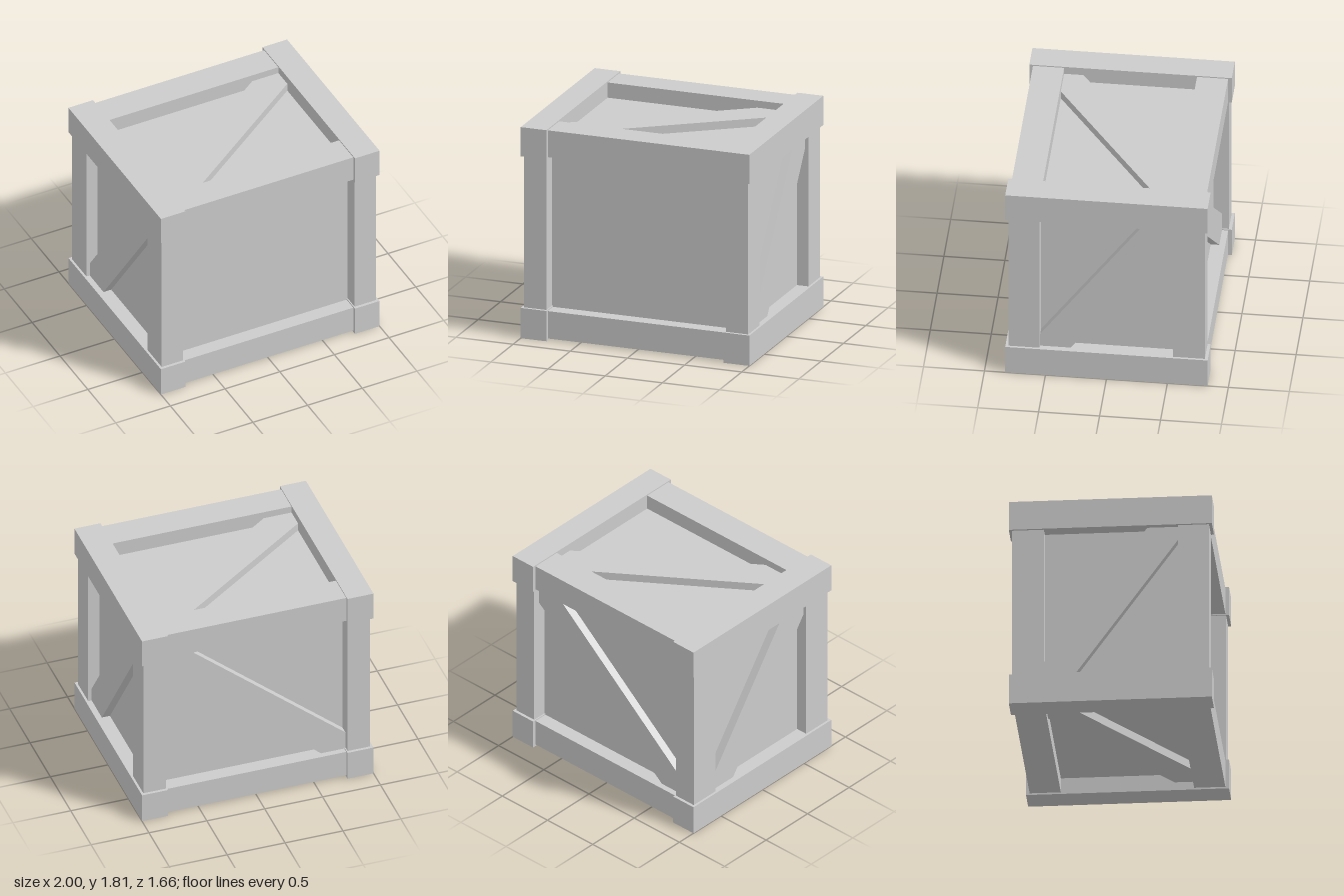
import * as THREE from 'three';

const material = new THREE.MeshStandardMaterial({ color: 0xcccccc, flatShading: true });

// Box given by its minimum and maximum corners
function beam(name, [x0, y0, z0], [x1, y1, z1]) {
  const mesh = new THREE.Mesh(new THREE.BoxGeometry(x1 - x0, y1 - y0, z1 - z0), material);
  mesh.name = name;
  mesh.position.set((x0 + x1) / 2, (y0 + y1) / 2, (z0 + z1) / 2);
  return mesh;
}

// Diagonal plank clipped to an opening of half size a by b; cu and cv are its cut lengths in the corners
function brace(name, { a, b, cu, cv, flip = 1, position, rotation }) {
  const corners = [[-a, -b], [-a + cu, -b], [a, b - cv], [a, b], [a - cu, b], [-a, -b + cv]];
  const shape = new THREE.Shape(corners.map(([u, v]) => new THREE.Vector2(u * flip, v)));
  const geometry = new THREE.ExtrudeGeometry(shape, { depth: 0.07, bevelEnabled: false });
  const mesh = new THREE.Mesh(geometry, material);
  mesh.name = name;
  mesh.position.set(...position);
  mesh.rotation.set(...rotation);
  return mesh;
}

export function createModel() {
  const crate = new THREE.Group();
  crate.name = 'crate';

  // Recessed panels on all six sides
  crate.add(beam('panelBox', [-0.88, 0.14, -0.68], [0.88, 1.67, 0.68]));

  // Rails running front to back, slightly proud of the rest of the frame
  for (const [level, y0, y1] of [['bottom', 0, 0.26], ['top', 1.56, 1.81]]) {
    crate.add(beam(level + 'LeftRail', [0.775, y0, -0.83], [1, y1, 0.83]));
    crate.add(beam(level + 'RightRail', [-1, y0, -0.83], [-0.775, y1, 0.83]));
  }

  // Rails running side to side
  for (const [level, y0, y1] of [['bottom', 0.015, 0.25], ['top', 1.57, 1.8]]) {
    crate.add(beam(level + 'FrontRail', [-0.775, y0, 0.545], [0.775, y1, 0.8]));
    crate.add(beam(level + 'BackRail', [-0.775, y0, -0.8], [0.775, y1, -0.545]));
  }

  // Corner posts
  for (const [end, z0, z1] of [['front', 0.55, 0.805], ['back', -0.805, -0.545]]) {
    crate.add(beam(end + 'LeftPost', [0.785, 0.26, z0], [0.98, 1.56, z1]));
    crate.add(beam(end + 'RightPost', [-0.98, 0.26, z0], [-0.785, 1.56, z1]));
  }

  // Diagonal braces on every side but the front
  const q = Math.PI / 2;
  const side = { a: 0.548, b: 0.65, cu: 0.25, cv: 0.12 };
  const flat = { a: 0.775, b: 0.545, cu: 0.24, cv: 0.16 };
  const back = { a: 0.785, b: 0.66, cu: 0.21, cv: 0.16, flip: -1 };
  crate.add(
    brace('leftBrace', { ...side, position: [0.88, 0.91, 0], rotation: [0, q, 0] }),
    brace('rightBrace', { ...side, position: [-0.88, 0.91, 0], rotation: [0, -q, 0] }),
    brace('topBrace', { ...flat, position: [0, 1.67, 0], rotation: [-q, 0, 0] }),
    brace('bottomBrace', { ...flat, position: [0, 0.14, 0], rotation: [q, 0, 0] }),
    brace('backBrace', { ...back, position: [0, 0.91, -0.68], rotation: [0, 2 * q, 0] }),
  );
  return crate;
}
